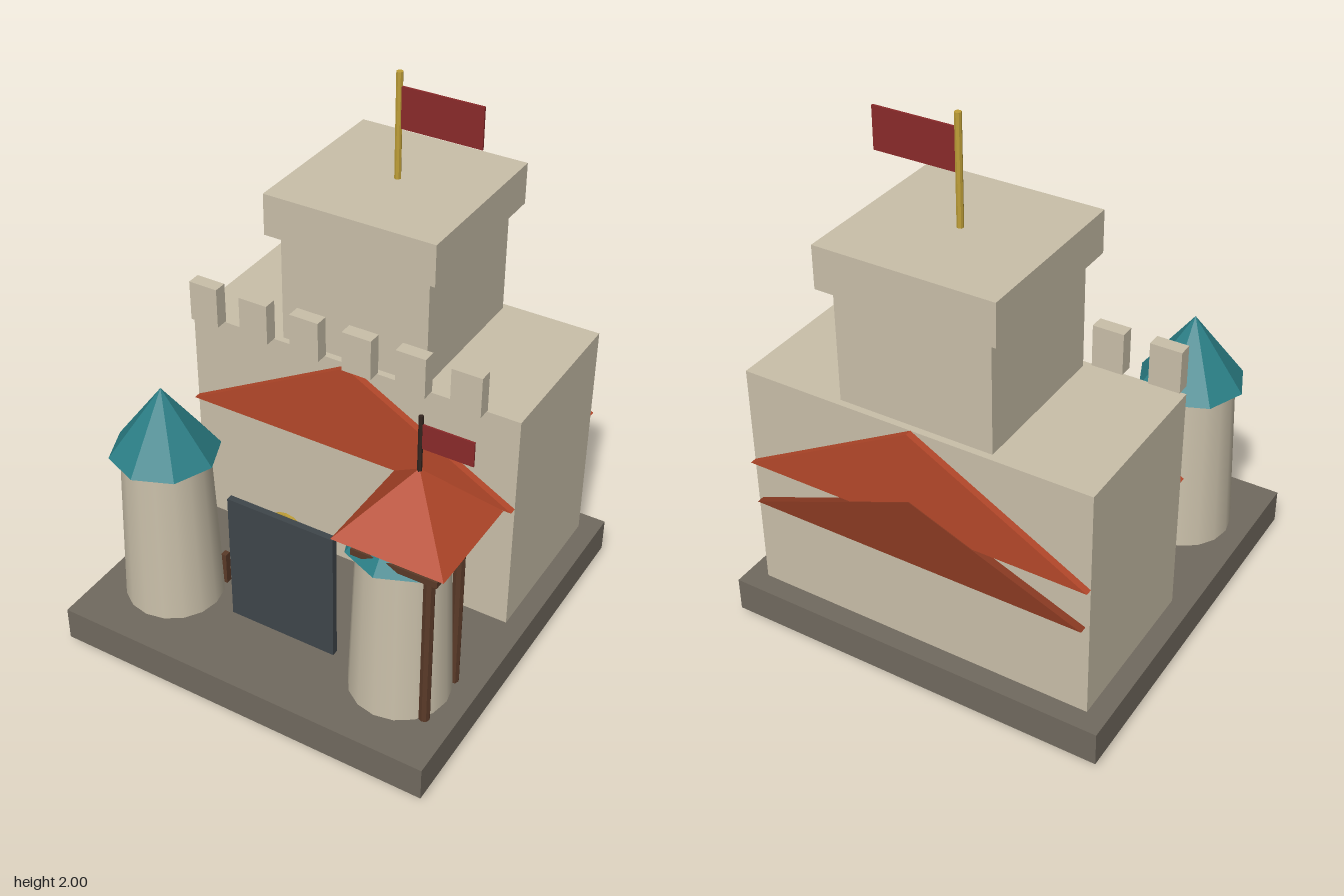
import * as THREE from 'three';

const mat = (color, flat = true) => new THREE.MeshStandardMaterial({ color, flatShading: flat });
const stone = mat(0xc9bfa9), stoneSmooth = mat(0xc9bfa9, false), ground = mat(0x716a5f);
const teal = mat(0x2b7f86), orange = mat(0xb5482a), rust = mat(0x8a3a22);
const wood = mat(0x5a3a28), darkWood = mat(0x33251f), gold = mat(0xbf9f38);
const red = mat(0x8a2a2a), slate = mat(0x3f464b);

export function createModel() {
  const model = new THREE.Group();

  const add = (name, geo, material, x, y, z, parent = model) => {
    const mesh = new THREE.Mesh(geo, material);
    mesh.name = name;
    mesh.position.set(x, y, z);
    parent.add(mesh);
    return mesh;
  };
  // Box from its extents on each axis
  const box = (name, m, [x0, x1], [y0, y1], [z0, z1], parent) =>
    add(name, new THREE.BoxGeometry(x1 - x0, y1 - y0, z1 - z0), m,
      (x0 + x1) / 2, (y0 + y1) / 2, (z0 + z1) / 2, parent);
  // Upright cylinder or cone from bottom to top
  const post = (name, m, rTop, rBottom, y0, y1, x, z, sides, parent) =>
    add(name, new THREE.CylinderGeometry(rTop, rBottom, y1 - y0, sides), m, x, (y0 + y1) / 2, z, parent);
  // Triangular gable extruded along z
  const gable = (name, m, half, y0, y1, z0, z1) => {
    const s = new THREE.Shape([
      new THREE.Vector2(-half, y0), new THREE.Vector2(half, y0), new THREE.Vector2(0, y1)]);
    return add(name, new THREE.ExtrudeGeometry(s, { depth: z1 - z0, bevelEnabled: false }), m, 0, 0, z0);
  };

  // Base and keep
  box('base', ground, [-0.725, 0.725], [0.03, 0.16], [-0.725, 0.725]);
  box('keep', stone, [-0.65, 0.65], [0.16, 1.04], [-0.65, -0.03]);
  box('upperKeep', stone, [-0.285, 0.285], [1.04, 1.46], [-0.625, -0.055]);
  box('upperKeepCap', stone, [-0.325, 0.325], [1.46, 1.615], [-0.663, -0.015]);
  for (let i = 0; i < 6; i++) {
    const x = -0.573 + i * 0.208;
    box('battlement', stone, [x - 0.057, x + 0.057], [1.04, 1.195], [-0.038, 0.013]);
  }

  // Gabled roofs running through the keep
  gable('gableRoof', orange, 0.65, 0.68, 1.04, -0.675, -0.003);
  gable('lowerBackGable', rust, 0.635, 0.52, 0.775, -0.678, -0.3);

  // Main flag
  post('flagPole', gold, 0.012, 0.012, 1.61, 2, 0, -0.34, 8);
  box('flag', red, [0.01, 0.31], [1.8, 1.95], [-0.344, -0.336]);

  // Round front towers with cone roofs
  for (const side of [-1, 1]) {
    const tower = new THREE.Group();
    tower.name = side < 0 ? 'rightTower' : 'leftTower';
    tower.position.set(side * 0.47, 0, 0.415);
    model.add(tower);
    post('towerWall', stoneSmooth, 0.155, 0.18, 0.16, 0.8, 0, 0, 16, tower);
    post('towerRoof', teal, 0, 0.195, 0.78, 1.04, 0, 0, 8, tower);
  }

  // Gate slab and round shields behind it
  box('gate', slate, [-0.21, 0.21], [0.16, 0.68], [0.402, 0.426]);
  for (const side of [-1, 1]) {
    const shield = add('shield', new THREE.CylinderGeometry(0.078, 0.078, 0.012, 16), gold,
      side * 0.208, 0.288, 0.077);
    shield.rotation.x = Math.PI / 2;
  }

  // Timber canopy around the left tower
  const canopy = new THREE.Group();
  canopy.name = 'canopy';
  canopy.position.set(0.518, 0, 0.415);
  model.add(canopy);
  for (const x of [-0.103, 0.103]) for (const z of [-0.103, 0.103])
    post('canopyPost', wood, 0.02, 0.02, 0.026, 0.9, x, z, 8, canopy);
  box('canopyDeck', wood, [-0.155, 0.155], [0.798, 0.822], [-0.155, 0.155], canopy);
  post('canopyRoof', orange, 0, 0.2 * Math.SQRT2, 0.875, 1.1, 0, 0, 4, canopy).rotation.y = Math.PI / 4;
  post('canopyFlagPole', darkWood, 0.008, 0.008, 1.08, 1.3, 0, 0, 6, canopy);
  box('canopyFlag', red, [0.005, 0.183], [1.18, 1.27], [-0.003, 0.003], canopy);

  // Training dummy behind the gate
  const dummy = new THREE.Group();
  dummy.name = 'trainingDummy';
  dummy.position.set(0.05, 0, 0.36);
  model.add(dummy);
  post('dummyPost', wood, 0.015, 0.015, 0.026, 0.5, 0, 0, 8, dummy);
  box('dummyArms', wood, [-0.105, 0.105], [0.37, 0.4], [-0.015, 0.015], dummy);
  post('dummyBody', stone, 0.045, 0.035, 0.25, 0.45, 0, 0, 8, dummy);
  post('dummyHead', stone, 0.03, 0.03, 0.45, 0.52, 0, 0, 8, dummy);

  // Small timbers propped beside the towers
  box('timber', wood, [-0.335, -0.315], [0.16, 0.29], [0.285, 0.31]);
  const prop = post('leaningStick', wood, 0.01, 0.01, 0.002, 0.4, 0.463, 0.275, 6);
  prop.rotation.x = 0.2;

  return model;
}
